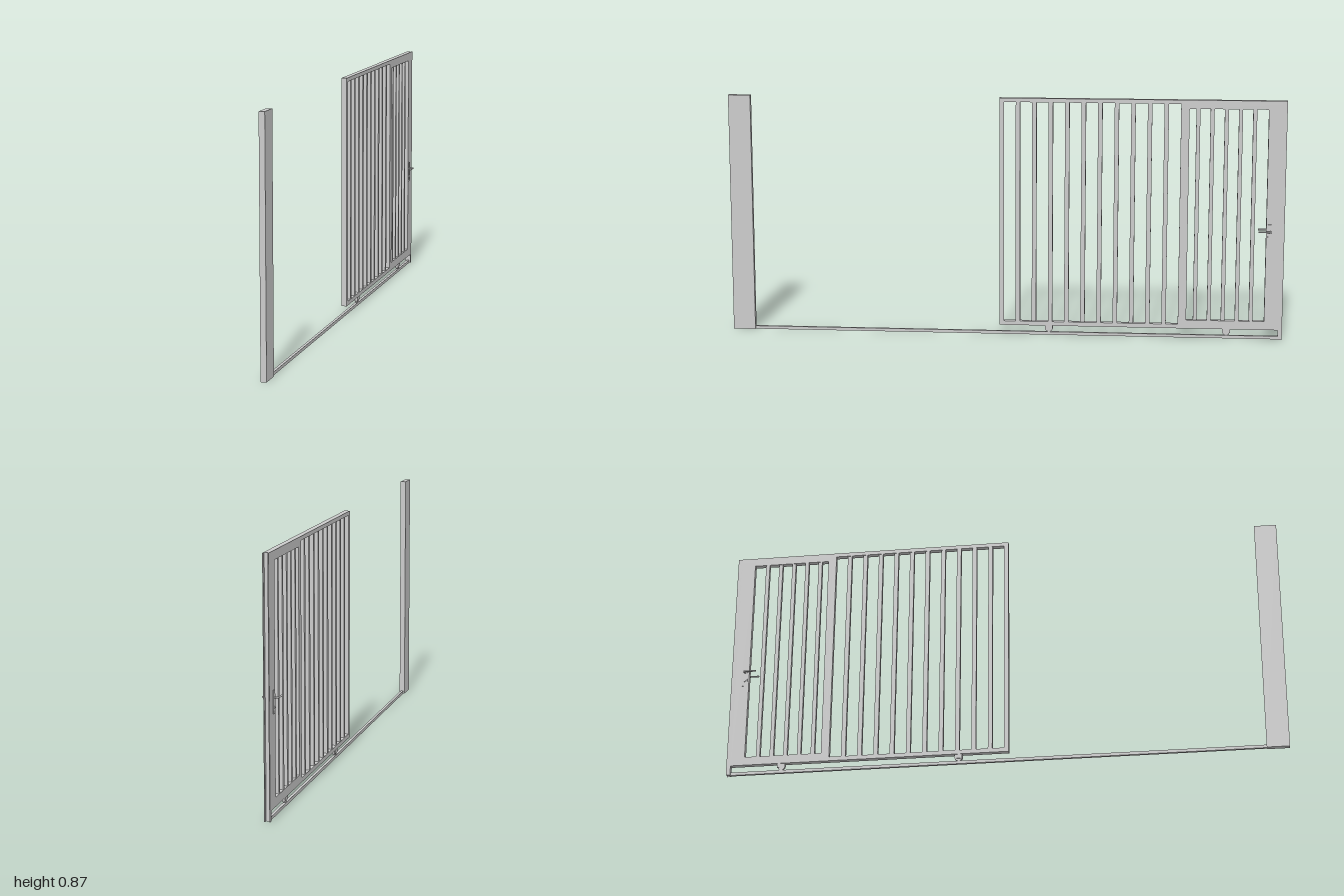
import * as THREE from 'three';

const material = new THREE.MeshStandardMaterial({ color: 0xcccccc });

export function createModel() {
  const model = new THREE.Group();
  model.name = 'slidingGate';

  function add(parent, name, geometry, x, y, z) {
    const mesh = new THREE.Mesh(geometry, material);
    mesh.name = name;
    mesh.position.set(x, y, z);
    parent.add(mesh);
    return mesh;
  }
  // Box from y and z ranges, with half thickness h about x
  function slab(parent, name, h, y0, y1, z0, z1, x = 0) {
    return add(parent, name, new THREE.BoxGeometry(2 * h, y1 - y0, Math.abs(z1 - z0)),
      x, (y0 + y1) / 2, (z0 + z1) / 2);
  }
  function group(name) {
    const g = new THREE.Group();
    g.name = name;
    model.add(g);
    return g;
  }

  const H = 0.866; // overall height
  const T = 0.01;  // half thickness of the frames

  // Fixed post and ground track
  slab(model, 'receivingPost', T, 0, H, 0.92, 1);
  slab(model, 'groundTrack', 0.005, 0, 0.011, -0.985, 0.92);

  // Channel post behind the gate, open to the back
  const channel = group('endPost');
  slab(channel, 'channelWeb', T, 0, H, -0.988, -0.985);
  for (const s of [-1, 1]) slab(channel, 'channelFlange', 0.0015, 0, H, -1, -0.988, s * 0.0085);

  // Main gate frame and its bars
  const gate = group('gateFrame');
  slab(gate, 'frontStile', T, 0.035, H, 0.004, 0.02);
  slab(gate, 'topRail', T, 0.852, H, -0.985, 0.004);
  slab(gate, 'bottomRail', T, 0.035, 0.05, -0.985, 0.004);
  slab(gate, 'middleStile', T, 0.05, 0.852, -0.642, -0.626);
  for (let i = 1; i <= 10; i++) {
    const z = 0.012 - 0.0587 * i;
    slab(gate, 'gateBar', 0.008, 0.05, 0.852, z - 0.008, z + 0.008);
  }

  // Wicket door set in the frame
  const door = group('wicketDoor');
  slab(door, 'hingeStile', T, 0.05, 0.852, -0.656, -0.642);
  slab(door, 'lockStile', T, 0.05, 0.852, -0.985, -0.935);
  slab(door, 'doorTopRail', T, 0.835, 0.852, -0.935, -0.656);
  slab(door, 'doorBottomRail', T, 0.05, 0.066, -0.935, -0.656);
  for (let i = 0; i < 5; i++) {
    const z = -0.687 - 0.05 * i;
    slab(door, 'doorBar', 0.008, 0.066, 0.835, z - 0.007, z + 0.007);
  }

  // Rollers under the gate
  for (const z of [-0.16, -0.8]) {
    const roller = group('roller');
    const wheel = add(roller, 'wheel', new THREE.CylinderGeometry(0.013, 0.013, 0.008, 24), 0, 0.024, z);
    wheel.rotation.z = Math.PI / 2;
    for (const s of [-1, 1]) slab(roller, 'wheelBracket', 0.001, 0.02, 0.035, z - 0.014, z + 0.014, s * 0.006);
  }

  // Lock plate, lever and key cylinder on both faces
  for (const s of [-1, 1]) {
    const handle = group('doorHandle');
    slab(handle, 'lockPlate', 0.001, 0.345, 0.422, -0.959, -0.941, s * 0.011);
    const spindle = add(handle, 'spindle', new THREE.CylinderGeometry(0.003, 0.003, 0.018, 12), s * 0.019, 0.397, -0.95);
    spindle.rotation.z = Math.PI / 2;
    const lever = add(handle, 'lever', new THREE.CylinderGeometry(0.003, 0.003, 0.045, 12), s * 0.0255, 0.397, -0.93);
    lever.rotation.x = Math.PI / 2;
    const key = add(handle, 'keyCylinder', new THREE.CylinderGeometry(0.004, 0.004, 0.005, 12), s * 0.0125, 0.365, -0.95);
    key.rotation.z = Math.PI / 2;
  }

  return model;
}
